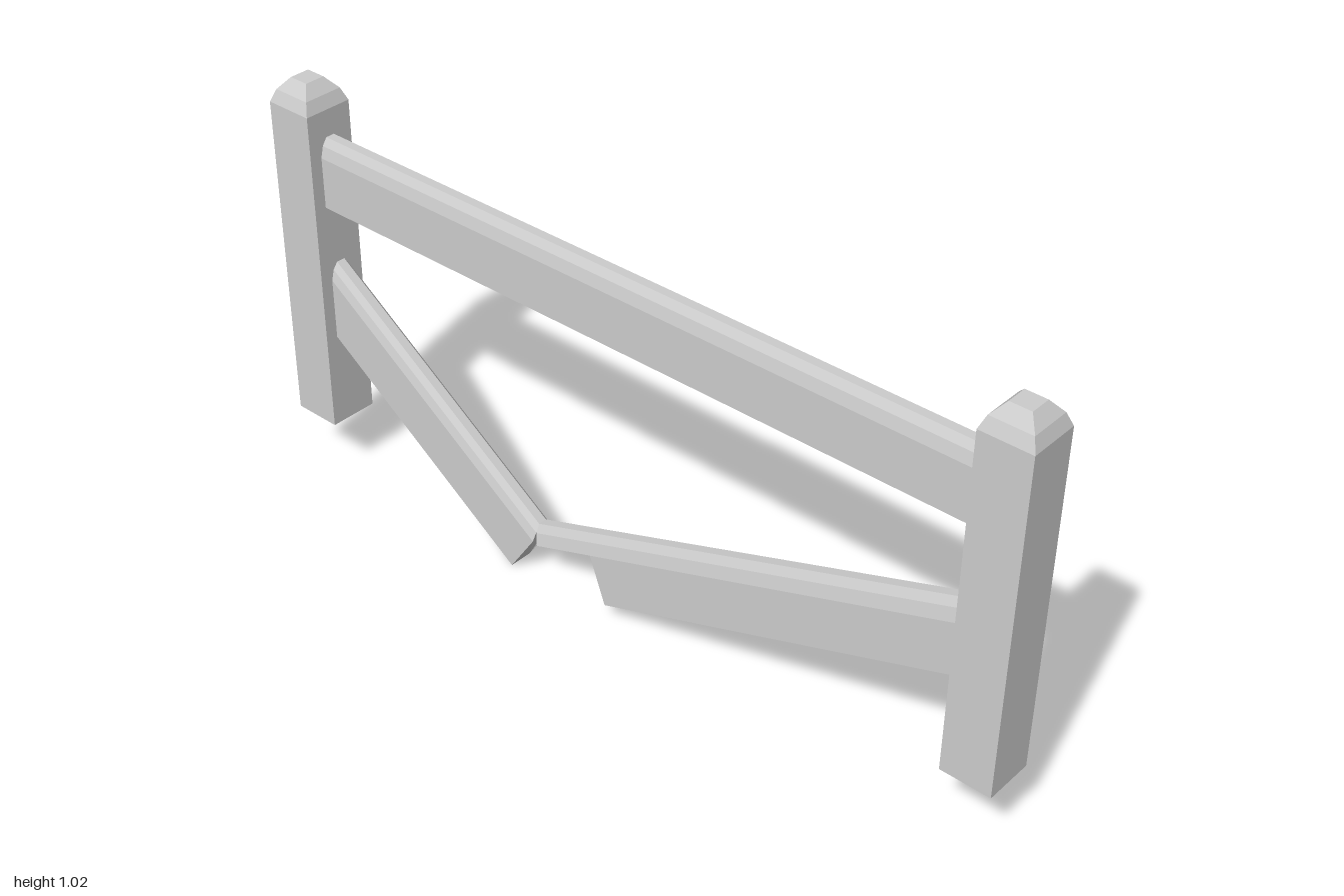
import * as THREE from 'three';

const material = new THREE.MeshStandardMaterial({ color: 0xcccccc, flatShading: true, side: THREE.DoubleSide });

// Skins a list of matching rings (counter-clockwise seen from the far end) and closes both ends
function loft(name, rings) {
  const pos = [];
  const tri = (a, b, c) => pos.push(...a, ...b, ...c);
  const n = rings[0].length;
  for (let r = 0; r < rings.length - 1; r++) {
    const a = rings[r], b = rings[r + 1];
    for (let i = 0; i < n; i++) {
      const j = (i + 1) % n;
      tri(a[i], a[j], b[j]);
      tri(a[i], b[j], b[i]);
    }
  }
  const first = rings[0], last = rings[rings.length - 1];
  for (let i = 1; i < n - 1; i++) {
    tri(first[0], first[i + 1], first[i]);
    tri(last[0], last[i], last[i + 1]);
  }
  const geometry = new THREE.BufferGeometry();
  geometry.setAttribute('position', new THREE.Float32BufferAttribute(pos, 3));
  geometry.computeVertexNormals();
  const mesh = new THREE.Mesh(geometry, material);
  mesh.name = name;
  return mesh;
}

// Square post with a stepped, bevelled top
function post(name, z) {
  const steps = [[0.15, 0.061], [0.965, 0.061], [0.995, 0.049], [1.023, 0.025]];
  return loft(name, steps.map(([y, s]) =>
    [[s, y, z + s], [s, y, z - s], [-s, y, z - s], [-s, y, z + s]]));
}

const HALF = 0.03;
const mix = (a, b, t) => [a[0] + (b[0] - a[0]) * t, a[1] + (b[1] - a[1]) * t];

// Cross-section rings; every corner is given as [z, y]
function section(levels) {
  const right = levels.map(([x, [z, y]]) => [x, y, z]);
  return [...right, ...right.map(([x, y, z]) => [-x, y, z]).reverse()];
}
const bodyEnd = (bottom, shoulder) => section([[HALF, bottom], [HALF, shoulder]]);
const capLevels = (shoulder, top) => [[HALF, shoulder], [0.023, mix(shoulder, top, 0.62)], [0.011, top]];
const capEnd = (shoulder, top) => section(capLevels(shoulder, top));
const railEnd = (bottom, shoulder, top) => section([[HALF, bottom], ...capLevels(shoulder, top)]);

export function createModel() {
  const group = new THREE.Group();
  group.name = 'brokenFence';

  group.add(post('frontPost', 0.939), post('backPost', -0.939));

  // Intact upper rail
  group.add(loft('upperRail', [-0.88, 0.88].map(z => railEnd([z, 0.73], [z, 0.855], [z, 0.9]))));

  // Long half of the snapped lower rail: body, plus a splinter running on past the break
  const longRail = new THREE.Group();
  longRail.name = 'brokenRailFront';
  longRail.add(
    loft('railBody', [
      bodyEnd([-0.037, 0.04], [-0.08, 0.157]),
      bodyEnd([0.88, 0.371], [0.88, 0.5]),
    ]),
    loft('railSplinter', [
      capEnd([-0.243, 0.099], [-0.255, 0.145]),
      capEnd([0.88, 0.5], [0.88, 0.552]),
    ]),
  );
  group.add(longRail);

  // Short half of the snapped lower rail
  group.add(loft('brokenRailBack', [
    railEnd([-0.88, 0.387], [-0.88, 0.54], [-0.88, 0.582]),
    railEnd([-0.325, 0], [-0.255, 0.105], [-0.248, 0.143]),
  ]));

  return group;
}
